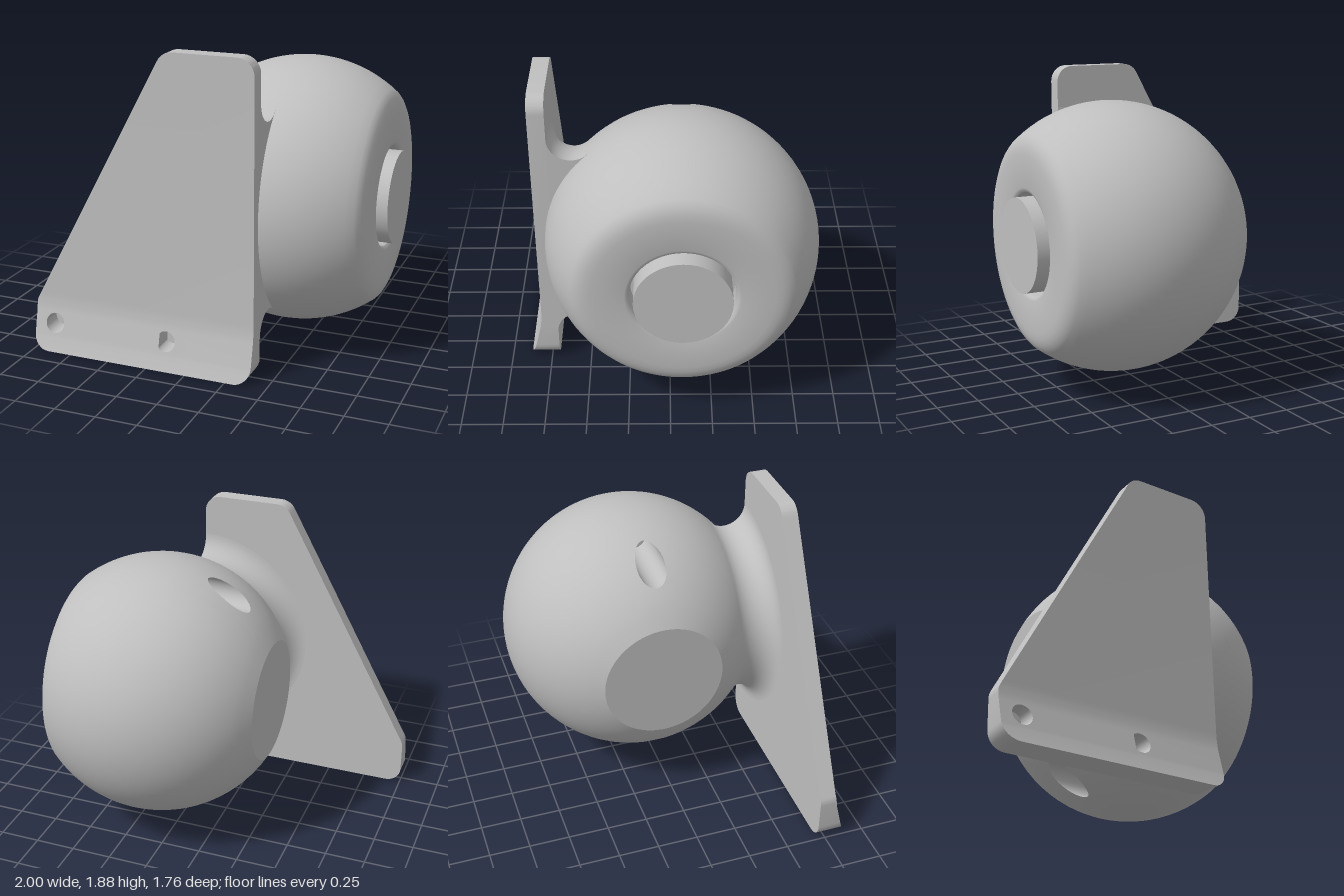
import * as THREE from 'three';
import { toCreasedNormals } from 'three/addons/utils/BufferGeometryUtils.js';

const R = 0.81, CX = 0.4, CY = 0.92, CZ = -0.07; // ball radius and centre
const grey = new THREE.MeshStandardMaterial({ color: 0xbfbfbf, side: THREE.DoubleSide });
grey.name = 'grey';

const V = (x, y, z) => [x, y, z];
const lerp = THREE.MathUtils.lerp;
const steps = (a, b, n) => Array.from({ length: n + 1 }, (_, i) => lerp(a, b, i / n));

function quad(out, a, b, c, d) {
  out.push(...a, ...b, ...c, ...a, ...c, ...d);
}

// Surface over two lists of parameters
function grid(out, us, vs, f) {
  for (let i = 0; i < us.length - 1; i++)
    for (let j = 0; j < vs.length - 1; j++)
      quad(out, f(us[i], vs[j]), f(us[i], vs[j + 1]), f(us[i + 1], vs[j + 1]), f(us[i + 1], vs[j]));
}

function addMesh(group, name, tris, crease = 0.5) {
  const geo = new THREE.BufferGeometry();
  geo.setAttribute('position', new THREE.Float32BufferAttribute(tris, 3));
  const mesh = new THREE.Mesh(toCreasedNormals(geo, crease), grey);
  mesh.name = name;
  group.add(mesh);
}

// Truncated ball turned about the x axis, with two bores parallel to that axis
function addBall(group) {
  const radius = x => Math.sqrt(R * R - (x - CX) ** 2);
  const turn = ([x, r], a) => V(x, CY + r * Math.cos(a), CZ + r * Math.sin(a));
  const onBall = (x, a) => turn([x, radius(x)], a);
  const step = Math.PI / 48, W = 4 * step, X0 = -0.24, X1 = 0.2;
  const around = steps(0, 2 * Math.PI, 96);
  const body = [];

  // Rear flat and rear ring
  grid(body, [[-0.32, 0], ...steps(-0.32, X0, 2).map(x => [x, radius(x)])], around, turn);
  // Front half, rounded rim, face and recess
  const front = steps(X1, 0.9, 16).map(x => [x, radius(x)]);
  front.push([0.918, 0.617], [0.932, 0.59], [0.941, 0.56], [0.945, 0.52], [0.945, 0.33],
    [0.94, 0.315], [0.93, 0.305], [0.91, 0.3], [0.8, 0.3], [0.8, 0.27]);
  grid(body, front, around, turn);
  // Sides between the bores
  const xs = steps(X0, X1, 8);
  for (const a of [0, Math.PI]) grid(body, xs, steps(a + W, a + Math.PI - W, 40), onBall);

  // Patches around the bore mouths
  const square = [];
  const corners = [[1, -1], [1, 1], [-1, 1], [-1, -1], [1, -1]];
  for (let k = 0; k < 4; k++)
    for (let i = 0; i < 8; i++)
      square.push([lerp(corners[k][0], corners[k + 1][0], i / 8), lerp(corners[k][1], corners[k + 1][1], i / 8)]);
  square.push(corners[0]);
  for (const centre of [0, Math.PI]) {
    const rim = ([s, t]) => {
      const a = Math.atan2(t, s);
      const y = 0.66 + 0.088 * Math.cos(a), z = 0.088 * Math.sin(a);
      return [CX - Math.sqrt(R * R - y * y - z * z), Math.atan2(z, y)];
    };
    grid(body, steps(0, 1, 4), square, (u, p) => {
      const [x, a] = rim(p);
      return onBall(lerp(x, lerp(X0, X1, (p[0] + 1) / 2), u), centre + lerp(a, W * p[1], u));
    });
    const bore = [];
    grid(bore, [2, 1, 0], square, (u, p) => {
      const [x, a] = rim(p);
      if (u === 0) return onBall(x, centre + a);
      return u === 1 ? V(0.3, ...onBall(x, centre + a).slice(1)) : turn([0.3, 0.66], centre);
    });
    addMesh(group, centre ? 'lowerBore' : 'upperBore', bore);
  }
  addMesh(group, 'ball', body);

  // Round plug in the recess
  const plug = new THREE.Mesh(new THREE.CylinderGeometry(0.28, 0.28, 0.2, 64), grey);
  plug.rotation.z = -Math.PI / 2;
  plug.position.set(0.9, CY, CZ);
  plug.name = 'plug';
  group.add(plug);
}

// Half-round filleted neck joining ball and plate, flat at the ball's middle
function addNeck(group) {
  const profile = steps(0, 2.4, 16).map(a => [0.565 + 0.135 * Math.cos(a), 0.7 - 0.135 * Math.sin(a)]);
  const neck = [], face = [];
  grid(neck, profile, steps(Math.PI, 0, 48), ([z, r], a) => V(CX - r * Math.sin(a), CY + r * Math.cos(a), z));
  grid(face, profile, [1, -1], ([z, r], s) => V(CX, CY + s * r, z));
  addMesh(group, 'neck', neck);
  addMesh(group, 'neckFace', face);
}

// Rounded polygon outline
function roundedOutline(points, r) {
  const out = [];
  points.forEach((p, i) => {
    const q = new THREE.Vector2(...p);
    const d0 = new THREE.Vector2(...points.at(i - 1)).sub(q).normalize();
    const d1 = new THREE.Vector2(...points[(i + 1) % points.length]).sub(q).normalize();
    const half = Math.acos(d0.dot(d1)) / 2, len = r / Math.tan(half);
    const centre = d0.clone().add(d1).normalize().multiplyScalar(r / Math.sin(half)).add(q);
    const a0 = d0.multiplyScalar(len).add(q).sub(centre).angle();
    const turnAngle = Math.PI - 2 * half;
    for (const t of steps(0, turnAngle, 8))
      out.push([centre.x + r * Math.cos(a0 + t), centre.y + r * Math.sin(a0 + t)]);
  });
  return out;
}

// Mounting plate with a flared foot and two blind holes
function addPlate(group) {
  const back = 0.7;
  const outline = roundedOutline([[-1, 0], [0.4, 0], [0.4, 1.88], [-0.14, 1.88], [-1, 0.3]], 0.1);
  const span = y => {
    const xs = [];
    outline.forEach(([x0, y0], i) => {
      const [x1, y1] = outline[(i + 1) % outline.length];
      if (Math.abs(y0 - y) < 1e-5) xs.push(x0);
      if ((y0 - y) * (y1 - y) < 0) xs.push(lerp(x0, x1, (y - y0) / (y1 - y0)));
    });
    return [Math.min(...xs), Math.max(...xs)];
  };
  const lowBand = 0.1, highBand = 0.24;
  const flare = y => 0.8 + 0.08 * Math.max(0, 1 - y / 0.35) ** 1.7;
  const frontZ = y => y > lowBand && y < highBand
    ? lerp(flare(lowBand), flare(highBand), (y - lowBand) / (highBand - lowBand)) : flare(y);

  const holes = [[-0.87, -2], [-0.14, -0.18]].map(([cx, cut]) =>
    steps(0, 2 * Math.PI, 32).slice(0, -1).map(a =>
      new THREE.Vector2(Math.max(cut, cx + 0.06 * Math.cos(a)), 0.17 + 0.06 * Math.sin(a))));

  const ys = [...outline.map(p => p[1]), lowBand, highBand, 0.32, 0.35]
    .sort((a, b) => a - b).filter((y, i, all) => i === 0 || y - all[i - 1] > 1e-4);
  const tris = [];
  for (let i = 0; i < ys.length - 1; i++) {
    const [y0, y1] = [ys[i], ys[i + 1]];
    const [l0, r0] = span(y0), [l1, r1] = span(y1);
    const z0 = frontZ(y0), z1 = frontZ(y1);
    if (y0 < 0.17 && y1 > 0.17) {
      const shape = new THREE.Shape([[l0, y0], [r0, y0], [r1, y1], [l1, y1]].map(p => new THREE.Vector2(...p)));
      holes.forEach(h => shape.holes.push(new THREE.Path(h)));
      const p = new THREE.ShapeGeometry(shape).toNonIndexed().attributes.position;
      for (let k = 0; k < p.count; k++) tris.push(p.getX(k), p.getY(k), frontZ(p.getY(k)));
    } else {
      quad(tris, V(l0, y0, z0), V(r0, y0, z0), V(r1, y1, z1), V(l1, y1, z1));
    }
    quad(tris, V(r0, y0, back), V(l0, y0, back), V(l1, y1, back), V(r1, y1, back));
    quad(tris, V(r0, y0, z0), V(r0, y0, back), V(r1, y1, back), V(r1, y1, z1));
    quad(tris, V(l0, y0, back), V(l0, y0, z0), V(l1, y1, z1), V(l1, y1, back));
  }
  // Bottom and top edges
  const [bl, br] = span(ys[0]), [tl, tr] = span(ys.at(-1));
  const yb = ys[0], yt = ys.at(-1), zb = frontZ(yb), zt = frontZ(yt);
  quad(tris, V(bl, yb, back), V(br, yb, back), V(br, yb, zb), V(bl, yb, zb));
  quad(tris, V(tl, yt, zt), V(tr, yt, zt), V(tr, yt, back), V(tl, yt, back));
  addMesh(group, 'plate', tris);

  // Hole walls and floors
  holes.forEach((h, i) => {
    const wall = [], cx = i ? -0.13 : -0.87;
    grid(wall, [2, 1, 0], [...h, h[0]], (u, p) =>
      u === 2 ? V(cx, 0.17, 0.71) : V(p.x, p.y, u ? 0.71 : frontZ(p.y)));
    addMesh(group, i ? 'innerBoltHole' : 'outerBoltHole', wall);
  });
}

export function createModel() {
  const group = new THREE.Group();
  group.name = 'ballMount';
  addBall(group);
  addNeck(group);
  addPlate(group);
  return group;
}
